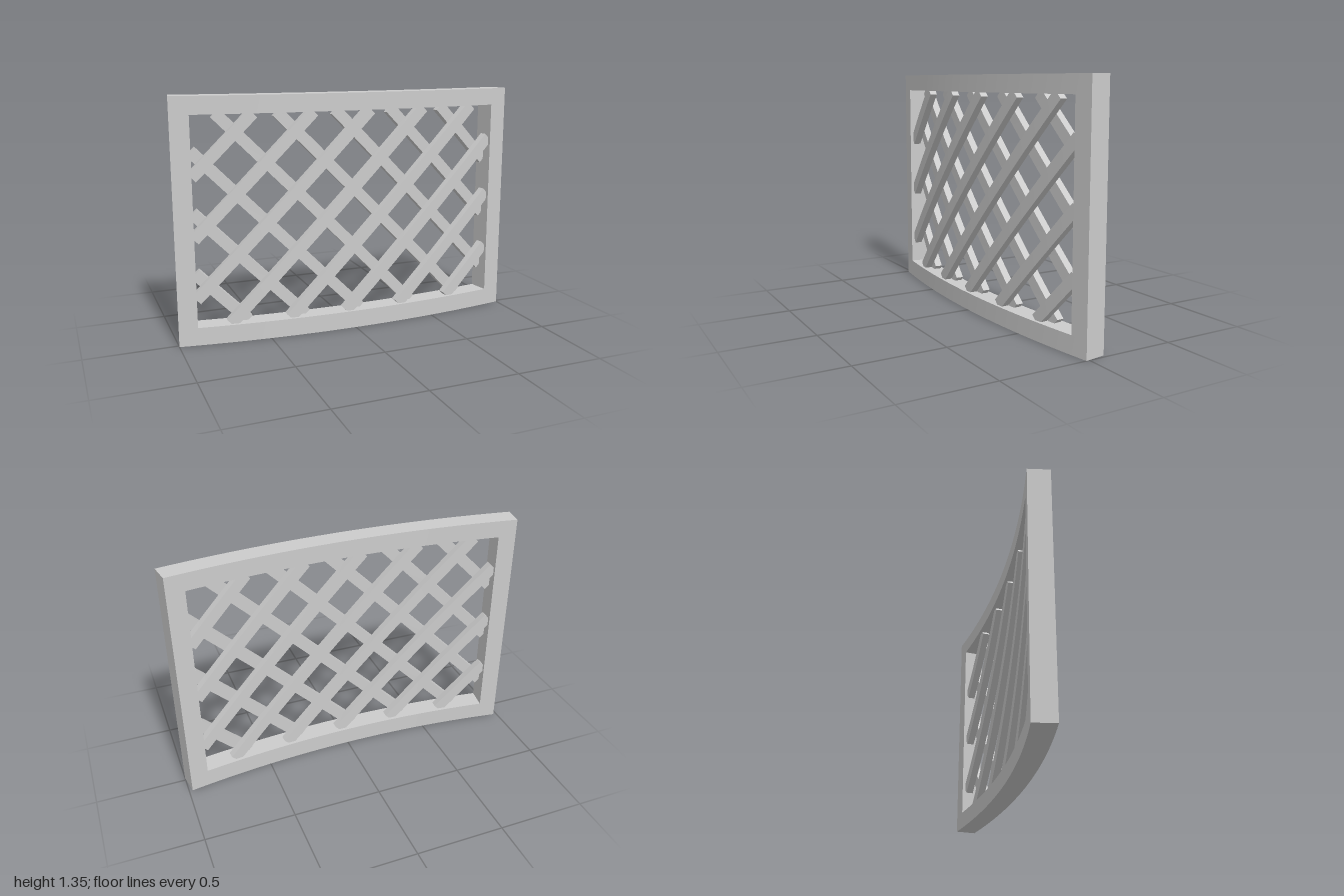
import * as THREE from 'three';
import { toCreasedNormals } from 'three/addons/utils/BufferGeometryUtils.js';

const CENTRE = 6.0;           // the panel bends around a vertical axis at z = -CENTRE
const FRONT = 6.1;            // radius of the front face
const HALF = 0.1647 * FRONT;  // half width along the front arc
const INNER = HALF - 0.103;   // half width of the opening
const HEIGHT = 1.345, RAIL = 0.1, TOP = HEIGHT - 0.096;

// Wraps a flat geometry onto the arc; x becomes arc length, z radial depth
function bend(geometry) {
  const p = geometry.attributes.position;
  for (let i = 0; i < p.count; i++) {
    const a = p.getX(i) / FRONT, r = CENTRE + p.getZ(i);
    p.setXYZ(i, r * Math.sin(a), p.getY(i), r * Math.cos(a) - CENTRE);
  }
  return toCreasedNormals(geometry, 0.5);
}

export function createModel() {
  const grey = new THREE.MeshStandardMaterial({ color: 0xcccccc });
  grey.name = 'light grey';
  const model = new THREE.Group();
  model.name = 'curvedLatticePanel';

  const add = (parent, name, geometry) => {
    const mesh = new THREE.Mesh(bend(geometry), grey);
    mesh.name = name;
    parent.add(mesh);
  };

  // Frame: two curved rails and two upright stiles
  const frame = new THREE.Group();
  frame.name = 'frame';
  model.add(frame);
  const bar = (name, x0, x1, y0, y1, segments) => {
    const g = new THREE.BoxGeometry(x1 - x0, y1 - y0, 0.12, segments, 1, 1);
    g.translate((x0 + x1) / 2, (y0 + y1) / 2, 0.04);
    add(frame, name, g);
  };
  bar('bottomRail', -HALF, HALF, 0, RAIL, 32);
  bar('topRail', -HALF, HALF, TOP, HEIGHT, 32);
  bar('leftStile', INNER, HALF, RAIL, TOP, 2);
  bar('rightStile', -HALF, -INNER, RAIL, TOP, 2);

  // Lattice: a front layer rising to +x and a mirrored layer behind it
  for (const [side, name, z] of [[1, 'frontSlat', 0.0615], [-1, 'backSlat', 0.0195]]) {
    const layer = new THREE.Group();
    layer.name = name + 's';
    model.add(layer);
    for (let i = 0; i < 8; i++) {
      const c = 0.651 + (i - 3.5) * 0.334; // height where the slat crosses x = 0
      const x0 = Math.max(-INNER, RAIL - c), x1 = Math.min(INNER, TOP - c);
      const g = new THREE.BoxGeometry((x1 - x0) * Math.SQRT2, 0.064, 0.042, 20, 1, 1);
      g.rotateZ(side * Math.PI / 4);
      g.translate(side * (x0 + x1) / 2, (x0 + x1) / 2 + c, z);
      add(layer, name, g);
    }
  }
  return model;
}
